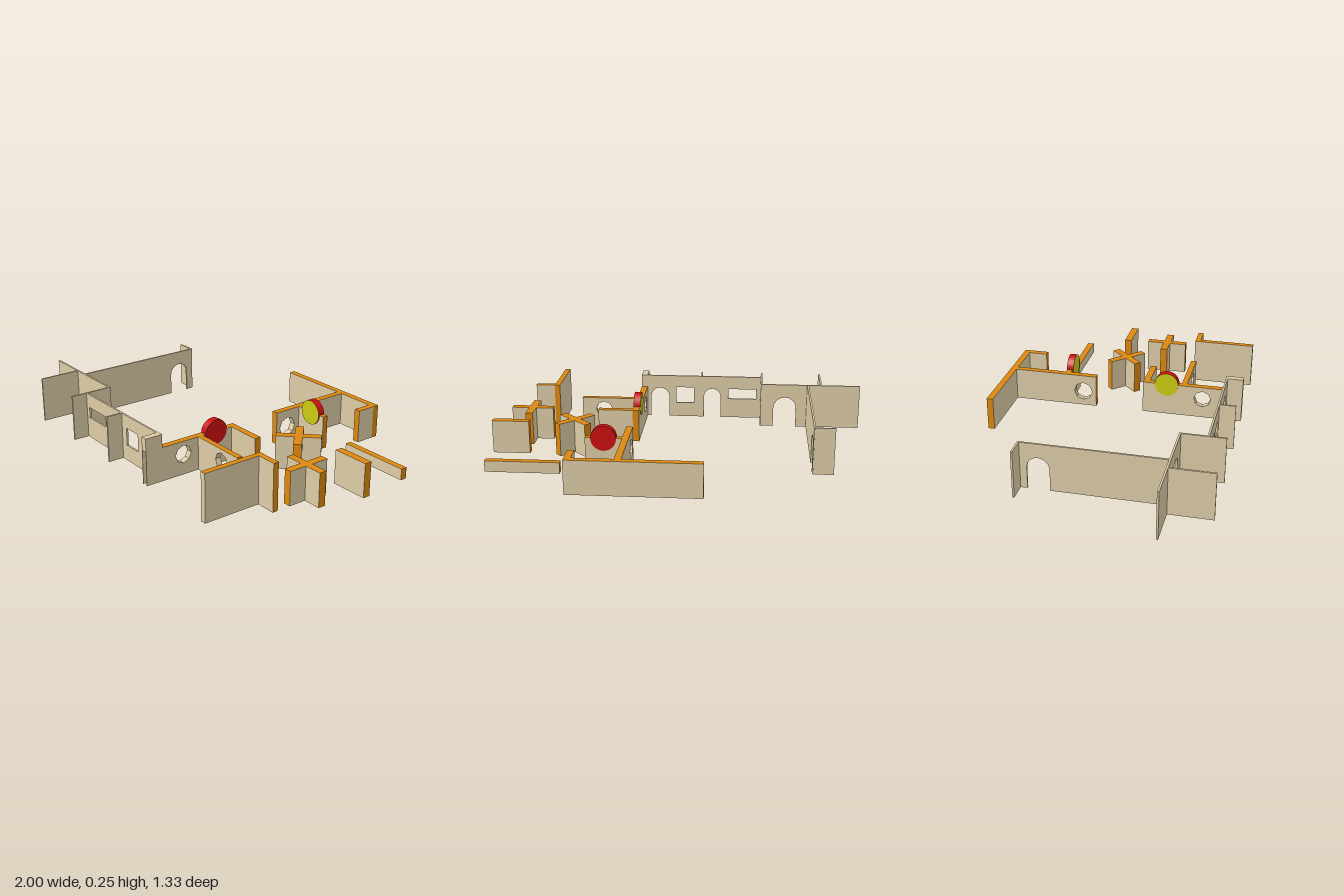
import * as THREE from 'three';

const mat = (color) => new THREE.MeshStandardMaterial({ color, flatShading: true });
const tan = mat(0xddcca6);
const orange = mat(0xdd880f);
const red = mat(0xcc0f0f);
const yellow = mat(0xcccc11);

// Openings, placed along the wall's own axis
const arch = (from, to, top) => ({ from, to, top });
const round = (at, y, r) => ({ at, y, r });
const rect = (from, to, y0, y1) => ({ from, to, y0, y1 });

// Wall elevation: arches notch the floor line, windows become holes
function elevation(start, end, h, openings) {
  const s = new THREE.Shape();
  s.moveTo(0, 0);
  for (const o of openings.filter((p) => p.top)) {
    const r = (o.to - o.from) / 2;
    s.lineTo(o.from - start, 0);
    s.lineTo(o.from - start, o.top - r);
    s.absarc(o.from - start + r, o.top - r, r, Math.PI, 0, true);
    s.lineTo(o.to - start, 0);
  }
  s.lineTo(end - start, 0);
  s.lineTo(end - start, h);
  s.lineTo(0, h);
  s.closePath();
  for (const o of openings.filter((p) => !p.top)) {
    const hole = new THREE.Path();
    if (o.r) {
      hole.absarc(o.at - start, o.y, o.r, 0, Math.PI * 2, true);
    } else {
      const a = o.from - start, b = o.to - start;
      hole.setFromPoints([[a, o.y0], [a, o.y1], [b, o.y1], [b, o.y0]].map((p) => new THREE.Vector2(...p)));
    }
    s.holes.push(hole);
  }
  return s;
}

// Wall running along x or z from start to end, between side0 and side1
function wall(name, axis, start, end, side0, side1, h, openings = [], edged = false, tanEnd = false) {
  const g = new THREE.ExtrudeGeometry(elevation(start, end, h, openings), {
    depth: side1 - side0, bevelEnabled: false, curveSegments: 4,
  });
  let material = tan;
  if (edged) {
    // Orange rim around the outline, tan faces and window reveals
    const caps = g.groups[0].count, total = g.attributes.position.count;
    g.clearGroups();
    g.addGroup(0, caps, 0);
    g.addGroup(caps, 6, 1);
    g.addGroup(caps + 6, 6, tanEnd ? 0 : 1);
    g.addGroup(caps + 12, 12, 1);
    if (total > caps + 24) g.addGroup(caps + 24, total - caps - 24, 0);
    material = [tan, orange];
  }
  const m = new THREE.Mesh(g, material);
  m.name = name;
  if (axis === 'x') {
    m.position.set(start, 0, side0);
  } else {
    m.rotation.y = -Math.PI / 2;
    m.position.set(side1, 0, start);
  }
  return m;
}

const edgedWall = (name, axis, a, b, c, d, h, openings, tanEnd) =>
  wall(name, axis, a, b, c, d, h, openings, true, tanEnd);

// Two crossing walls
function cross(name, x, z, length, thick, h, turn) {
  const g = new THREE.Group();
  g.name = name;
  for (const axis of ['x', 'z'])
    g.add(edgedWall('crossArm', axis, -length / 2, length / 2, -thick / 2, thick / 2, h));
  g.position.set(x, 0, z);
  g.rotation.y = turn;
  return g;
}

// Upright wheel with differently coloured faces
function disc(name, x, y, z, depth, faceA, faceB, alongX) {
  const m = new THREE.Mesh(new THREE.CylinderGeometry(0.066, 0.066, depth, 40), [red, faceA, faceB]);
  m.name = name;
  m.position.set(x, y, z);
  if (alongX) m.rotation.z = -Math.PI / 2;
  else m.rotation.x = Math.PI / 2;
  return m;
}

export function createModel() {
  const model = new THREE.Group();
  model.name = 'wallLayout';
  const H = 0.25, L = 0.18, t = 0.005;

  // Thin tall walls
  model.add(
    wall('sideReturn', 'x', -0.81, -0.705, -0.31 - t, -0.31 + t, H),
    wall('sideWall', 'z', -0.31, 0.43, -0.705 - t, -0.705 + t, H, [arch(-0.27, -0.155, 0.175)]),
    wall('steppedWall', 'x', -1, -0.435, 0.43 - t, 0.43 + t, H, [arch(-0.64, -0.51, 0.175)]),
    wall('frontWall', 'x', -0.44, 0.235, 0.57 - t, 0.57 + t, H, [
      rect(-0.41, -0.245, 0.115, 0.175), arch(-0.2, -0.1, 0.175),
      rect(-0.04, 0.065, 0.085, 0.18), arch(0.105, 0.215, 0.175),
    ]),
  );
  for (const [x, z] of [[-0.78, 0.43], [-0.44, 0.43], [-0.085, 0.57]])
    model.add(wall('frontFin', 'z', z, 0.66, x - t, x + t, H));

  // Hollow end pier
  const pier = new THREE.Group();
  pier.name = 'endPier';
  for (const x of [0.235, 0.267]) pier.add(wall('pierSide', 'z', 0.565, 0.66, x, x + 0.003, L));
  const lintel = new THREE.Mesh(new THREE.BoxGeometry(0.035, H - L, 0.095), tan);
  lintel.name = 'pierLintel';
  lintel.position.set(0.2525, (H + L) / 2, 0.6125);
  pier.add(lintel);
  model.add(pier);

  // Edged walls at the front
  model.add(
    edgedWall('middleWall', 'z', 0.105, 0.565, 0.235, 0.27, L, [round(0.44, 0.11, 0.047)], true),
    edgedWall('middleShortBranch', 'x', 0.27, 0.46, 0.105, 0.14, L),
    edgedWall('middleLongBranch', 'x', 0.27, 0.585, 0.32, 0.35, L, [round(0.46, 0.113, 0.047)]),
    edgedWall('tallCornerWall', 'z', 0.32, 0.66, 0.715, 0.745, H, [], true),
    edgedWall('tallCornerReturn', 'x', 0.745, 0.85, 0.32, 0.35, H),
  );

  // Edged walls at the back
  model.add(
    edgedWall('backWall', 'x', -0.165, 0.515, -0.67, -0.635, L),
    edgedWall('backReturn', 'z', -0.635, -0.53, 0.48, 0.515, L),
    edgedWall('backSpur', 'z', -0.635, -0.165, 0.235, 0.27, L, [round(-0.24, 0.085, 0.052)]),
    edgedWall('backBranch', 'x', 0.27, 0.46, -0.35, -0.32, L),
    edgedWall('lowBarrier', 'x', 0.585, 0.975, -0.405, -0.37, 0.06),
    edgedWall('freeWall', 'x', 0.8, 1, -0.125, -0.085, L),
  );

  // Crossed walls
  model.add(
    cross('diagonalCross', 0.56, -0.06, 0.23, 0.042, L, Math.PI / 4),
    cross('straightCross', 0.83, 0.132, 0.23, 0.04, L, 0),
  );

  // Wheels set into the walls
  model.add(
    disc('frontDisc', 0.2525, 0.178, 0.238, 0.039, red, yellow, true),
    disc('backDisc', 0.365, 0.178, -0.333, 0.039, yellow, red, false),
  );
  return model;
}
